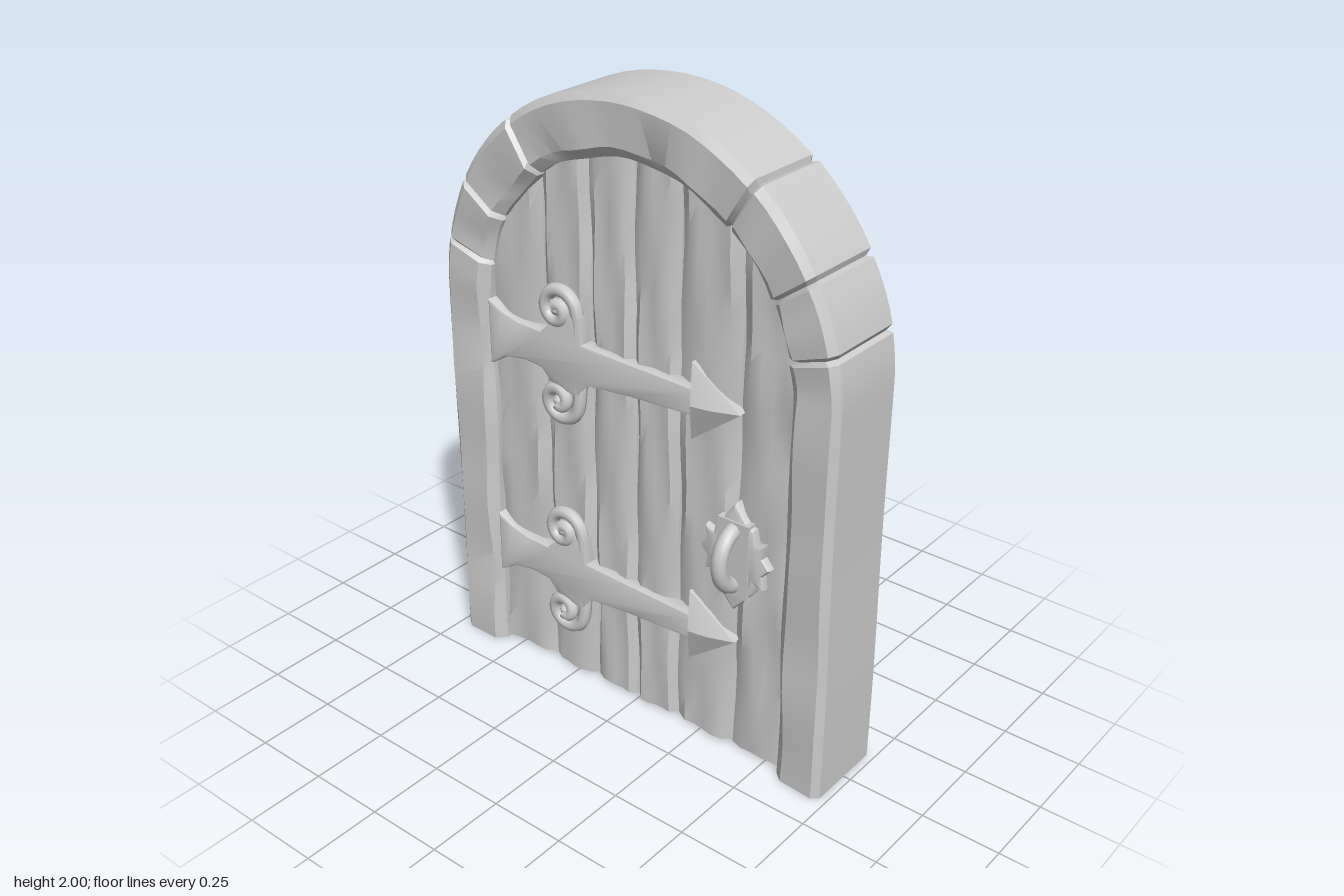
import * as THREE from 'three';
import { toCreasedNormals } from 'three/addons/utils/BufferGeometryUtils.js';
import { ConvexGeometry } from 'three/addons/geometries/ConvexGeometry.js';

const stone = new THREE.MeshStandardMaterial({ color: 0xcccccc });
stone.name = 'paleGrey';

// smooth pseudo-random waviness, 0..1
const wave = (a, b, seed) =>
  0.5 + 0.25 * Math.sin(a * 2.1 + b * 1.3 + seed * 4.7) + 0.25 * Math.sin(a * 1.1 - b * 3.1 + seed * 2.3);

function addMesh(parent, name, geometry, crease = 0.6) {
  const mesh = new THREE.Mesh(toCreasedNormals(geometry, crease), stone);
  mesh.name = name;
  parent.add(mesh);
  return mesh;
}

// copy of a geometry reflected to the back face, winding corrected
function reflectZ(geometry) {
  const g = geometry.index ? geometry.toNonIndexed() : geometry.clone();
  g.scale(1, 1, -1);
  const p = g.attributes.position;
  for (let i = 0; i < p.count; i += 3) {
    const b = [p.getX(i + 1), p.getY(i + 1), p.getZ(i + 1)];
    p.setXYZ(i + 1, p.getX(i + 2), p.getY(i + 2), p.getZ(i + 2));
    p.setXYZ(i + 2, ...b);
  }
  g.deleteAttribute('normal');
  g.computeVertexNormals();
  return g;
}

function addBothFaces(parent, name, geometry, crease) {
  addMesh(parent, name + 'Front', geometry, crease);
  addMesh(parent, name + 'Back', reflectZ(geometry), crease);
}

// point on the frame: a runs -1..0 up one jamb, 0..PI round the arch, then down; u is inner..outer
function framePoint(a, u) {
  const r = 0.555 + 0.173 * u, cy = 1.25 + 0.022 * u;
  if (a < 0) return [r, cy * (1 + a)];
  if (a > Math.PI) return [-r, cy * (1 - (a - Math.PI))];
  return [r * Math.cos(a), cy + r * Math.sin(a)];
}

// one block of the frame: chamfered section swept along the frame, pinched at its joints
function frameBlock(a0, a1, steps, seed) {
  const pos = [], idx = [], n = 8;
  for (let i = 0; i <= steps + 2; i++) {
    const end = i === 0 || i === steps + 2;
    const t = Math.min(Math.max((i - 1) / steps, 0), 1);
    const pad = 0.018;
    let a = a0 + pad + (a1 - a0 - 2 * pad) * t;
    if (i === 0) a = a0;
    if (i === steps + 2) a = a1;
    const floor = a <= -1 || a >= Math.PI + 1;
    const pin = end && !floor ? 1 : 0;
    const hi = 1 - 0.08 * pin - 0.03 * wave(a * 4, 0, seed);
    const lo = 0.06 * pin + 0.06 * wave(a * 7, 2, seed);
    const zf = 0.15 - 0.012 * pin, c = 0.022, cu = c / 0.173;
    const w = (k) => 0.012 * wave(a * 9, k, seed);
    const section = [
      [lo + cu * 1.3, zf - w(1) * 1.4], [hi - cu, zf - w(2) * 0.5], [hi, zf - c], [hi, -zf + c],
      [hi - cu, -zf + w(3) * 0.5], [lo + cu * 1.3, -zf + w(4) * 1.4], [lo, -zf + c * 1.6], [lo, zf - c * 1.6]];
    for (const [u, z] of section) pos.push(...framePoint(a, u), z);
  }
  const rows = steps + 3;
  for (let i = 0; i < rows - 1; i++) for (let j = 0; j < n; j++) {
    const k = (j + 1) % n, A = i * n + j, B = i * n + k;
    idx.push(A, B, B + n, A, B + n, A + n);
  }
  const last = (rows - 1) * n;
  for (let j = 1; j < n - 1; j++) idx.push(0, j + 1, j, last, last + j, last + j + 1);
  const g = new THREE.BufferGeometry();
  g.setAttribute('position', new THREE.Float32BufferAttribute(pos, 3));
  g.setIndex(idx);
  g.computeVertexNormals();
  return g;
}

// uneven plank whose top follows the arch and whose long edges sink into seams
function plank(x0, x1, seed) {
  const g = new THREE.BoxGeometry(1, 1, 1, 6, 22, 1);
  const p = g.attributes.position;
  for (let i = 0; i < p.count; i++) {
    const s = p.getX(i) + 0.5, t = p.getY(i) + 0.5, side = Math.sign(p.getZ(i));
    const x = x0 + (x1 - x0) * s;
    const top = 1.25 + Math.sqrt(Math.max(0.62 * 0.62 - x * x, 0));
    const edge = s < 0.01 || s > 0.99 ? 0.02 : 0;
    const z = 0.106 - edge - 0.016 * wave(s * 5, t * 9 + side, seed);
    p.setXYZ(i, x, 0.008 + t * (top - 0.008), side * z);
  }
  g.computeVertexNormals();
  return g;
}

function plate(points, z0, depth, bevel) {
  const shape = new THREE.Shape(points.map(([x, y]) => new THREE.Vector2(x, y)));
  const g = new THREE.ExtrudeGeometry(shape, {
    depth, bevelEnabled: true, bevelThickness: bevel, bevelSize: bevel, bevelOffset: -bevel, bevelSegments: 2 });
  return g.translate(0, 0, z0);
}

// curled iron arm rising (dir 1) or dropping (dir -1) from the strap
function scroll(y, dir) {
  const pts = [[-0.235, 0], [-0.212, 0.07]].map(([x, d]) => new THREE.Vector3(x, y + dir * d, 0.105));
  for (let i = 0; i <= 14; i++) {
    const a = -0.1 + i * 0.6, r = 0.072 - i * 0.0042;
    pts.push(new THREE.Vector3(-0.283 + r * Math.cos(a), y + dir * (0.15 + r * Math.sin(a)), 0.108 + i * 0.001));
  }
  return new THREE.TubeGeometry(new THREE.CatmullRomCurve3(pts), 56, 0.021, 8);
}

function addHinge(parent, y) {
  const hinge = new THREE.Group();
  hinge.name = 'strapHinge';
  parent.add(hinge);
  // flared strap with a cross-shaped swelling
  const strap = [
    [-0.565, -0.11], [-0.5, -0.07], [-0.42, -0.055], [-0.35, -0.06], [-0.31, -0.1], [-0.2, -0.12], [-0.185, -0.07],
    [0.0, -0.05], [0.25, -0.035], [0.25, 0.05], [0.0, 0.055], [-0.185, 0.062], [-0.19, 0.15],
    [-0.25, 0.14], [-0.31, 0.1], [-0.35, 0.062], [-0.44, 0.065], [-0.5, 0.08], [-0.565, 0.11]];
  addBothFaces(hinge, 'strap', plate(strap.map(([x, d]) => [x, y + d]), 0.08, 0.036, 0.01));
  // ridged arrow tip
  const tip = [];
  for (const z of [0.08, 0.108])
    for (const [x, d] of [[0.215, 0.125], [0.215, -0.12], [0.385, 0.01]]) tip.push(new THREE.Vector3(x, y + d, z));
  tip.push(new THREE.Vector3(0.235, y + 0.005, 0.143), new THREE.Vector3(0.3, y + 0.008, 0.136));
  addBothFaces(hinge, 'arrowTip', new ConvexGeometry(tip), 0.3);
  for (const dir of [1, -1]) {
    addBothFaces(hinge, dir > 0 ? 'upperScroll' : 'lowerScroll', scroll(y, dir), 1);
    const eye = new THREE.SphereGeometry(0.02, 10, 8).translate(-0.283, y + dir * 0.15, 0.118);
    addBothFaces(hinge, dir > 0 ? 'upperScrollEye' : 'lowerScrollEye', eye, 1);
  }
}

function addHandle(parent) {
  const handle = new THREE.Group();
  handle.name = 'handle';
  parent.add(handle);
  // pointed escutcheon with side lobes
  const half = [[0, -0.18], [0.045, -0.13], [0.07, -0.1], [0.075, -0.065], [0.105, -0.075],
    [0.098, -0.03], [0.125, 0], [0.098, 0.03], [0.105, 0.075], [0.075, 0.065], [0.065, 0.11], [0.045, 0.12], [0, 0.18]];
  const outline = [...half, ...half.slice(1, -1).reverse().map(([x, y]) => [-x, y])];
  addBothFaces(handle, 'backPlate', plate(outline.map(([x, y]) => [0.385 + x, 0.7 + y]), 0.085, 0.028, 0.012));
  const boss = new THREE.BoxGeometry(0.11, 0.25, 0.05).translate(0.385, 0.7, 0.105);
  addBothFaces(handle, 'plateBoss', boss);
  // pull ring
  const ring = new THREE.TorusGeometry(0.088, 0.026, 10, 28).rotateY(Math.PI / 2).scale(1, 1.03, 0.85);
  addBothFaces(handle, 'pullRing', ring.translate(0.385, 0.703, 0.118), 1);
}

export function createModel() {
  const door = new THREE.Group();
  door.name = 'archedDoor';

  // frame: two jambs and five arch blocks
  const frame = new THREE.Group();
  frame.name = 'frame';
  door.add(frame);
  const joints = [-1, 0.22, 0.515, 0.92, Math.PI - 0.92, Math.PI - 0.515, Math.PI - 0.22, Math.PI + 1];
  for (let i = 0; i < joints.length - 1; i++) {
    const jamb = i === 0 || i === joints.length - 2;
    const steps = jamb ? 24 : i === 3 ? 16 : 5;
    addMesh(frame, jamb ? 'jamb' : 'archBlock', frameBlock(joints[i], joints[i + 1], steps, i + 1), 0.5);
  }

  // leaf of vertical planks
  const leaf = new THREE.Group();
  leaf.name = 'doorLeaf';
  door.add(leaf);
  const seams = [-0.6, -0.36, -0.175, -0.01, 0.155, 0.372, 0.6];
  for (let i = 0; i < seams.length - 1; i++) addMesh(leaf, 'plank', plank(seams[i], seams[i + 1], i * 1.7 + 0.4), 0.6);

  for (const y of [1.145, 0.385]) addHinge(door, y);
  addHandle(door);
  return door;
}
